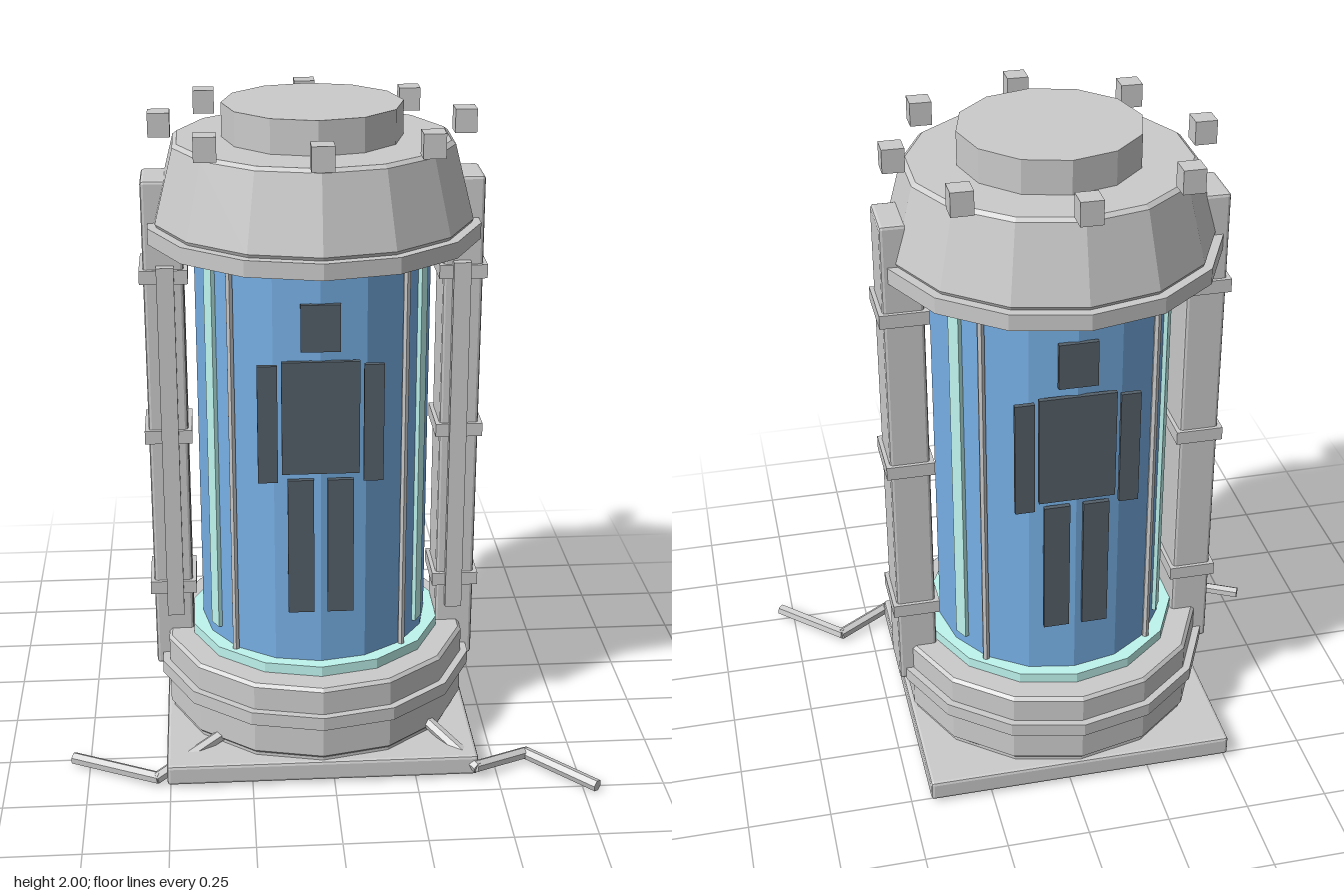
import * as THREE from 'three';
import { RoundedBoxGeometry } from 'three/addons/geometries/RoundedBoxGeometry.js';

const paint = (color) => new THREE.MeshStandardMaterial({ color, flatShading: true });
const grey = paint(0xcccccc);
const glassBlue = paint(0x77b0e6);
const glow = paint(0xbff5ef);
const dark = paint(0x556069);

export function createModel() {
  const model = new THREE.Group();
  // Everything but the cables is placed around the tank's own axis
  const tank = new THREE.Group();
  tank.name = 'tank';
  tank.position.set(-0.035, 0, -0.045);
  model.add(tank);

  const add = (name, geometry, material, x = 0, y = 0, z = 0, parent = tank) => {
    const mesh = new THREE.Mesh(geometry, material);
    mesh.name = name;
    mesh.position.set(x, y, z);
    parent.add(mesh);
    return mesh;
  };
  const lathe = (name, profile, sides = 14, material = grey) =>
    add(name, new THREE.LatheGeometry(profile.map(([r, y]) => new THREE.Vector2(r, y)), sides), material);
  const drum = (name, r, y0, y1, sides, material) =>
    add(name, new THREE.CylinderGeometry(r, r, y1 - y0, sides), material, 0, (y0 + y1) / 2, 0);

  // Base
  add('basePlate', new RoundedBoxGeometry(0.95, 0.065, 0.95, 1, 0.01), grey, 0, 0.0475, 0);
  lathe('baseDrum', [[0, 0.07], [0.465, 0.07], [0.465, 0.09], [0.475, 0.1], [0.475, 0.32], [0.465, 0.33], [0, 0.33]]);
  drum('baseRing', 0.498, 0.203, 0.245, 14, grey);
  drum('glowRing', 0.394, 0.325, 0.362, 14, glow);

  // Glass and cap
  drum('glass', 0.354, 0.33, 1.63, 16, glassBlue);
  drum('capRing', 0.498, 1.612, 1.66, 14, grey);
  lathe('cap', [[0, 1.65], [0.465, 1.65], [0.475, 1.67], [0.418, 1.89], [0.405, 1.9], [0, 1.9]]);
  drum('capLid', 0.265, 1.89, 2, 12, grey);

  // Cubes floating round the cap
  for (let i = 0; i < 8; i++) {
    const a = (i * Math.PI) / 4;
    add('capCube', new THREE.BoxGeometry(0.064, 0.07, 0.064), grey, 0.445 * Math.sin(a), 1.942, 0.445 * Math.cos(a));
  }

  // Struts and light strips on the glass, one of each per quarter
  for (const sx of [-1, 1]) {
    for (const sz of [-1, 1]) {
      add('strut', new THREE.CylinderGeometry(0.011, 0.011, 1.28, 6), grey, sx * 0.255, 0.975, sz * 0.255);
      const a = THREE.MathUtils.degToRad(62);
      const strip = add('lightStrip', new THREE.BoxGeometry(0.046, 1.2, 0.014), glow,
        sx * 0.352 * Math.sin(a), 1.0, sz * 0.352 * Math.cos(a));
      strip.rotation.y = Math.atan2(sx * Math.sin(a), sz * Math.cos(a));
    }
  }

  // Flat figure on the front and back of the glass: [x0, x1, y0, y1]
  const figure = [
    ['head', -0.057, 0.057, 1.36, 1.5],
    ['torso', -0.113, 0.113, 0.985, 1.33],
    ['arm', -0.183, -0.125, 0.96, 1.32],
    ['arm', 0.125, 0.183, 0.96, 1.32],
    ['leg', -0.097, -0.02, 0.535, 0.965],
    ['leg', 0.02, 0.097, 0.535, 0.965],
  ];
  for (const side of [-1, 1]) {
    for (const [name, x0, x1, y0, y1] of figure) {
      add(name, new THREE.BoxGeometry(x1 - x0, y1 - y0, 0.015), dark, (x0 + x1) / 2, (y0 + y1) / 2, side * 0.356);
    }
  }

  // Side columns with clamps and a front rail
  for (const sx of [-1, 1]) {
    const x = sx * 0.445;
    add('column', new RoundedBoxGeometry(0.12, 1.58, 0.164, 1, 0.01), grey, x, 0.995, -0.027);
    add('columnRail', new THREE.BoxGeometry(0.052, 1.14, 0.05), grey, x - sx * 0.005, 0.96, 0.057);
    for (const y of [0.48, 0.99, 1.497]) {
      add('clamp', new THREE.BoxGeometry(0.144, 0.042, 0.186), grey, x, y, -0.027);
    }
  }

  // Bent cables leaving the base drum over the plate corners
  const cables = [
    [[-0.3, 0.115, 0.26], [-0.54, 0.027, 0.4], [-0.795, 0.024, 0.27]],
    [[0.28, 0.12, 0.24], [0.435, 0.045, 0.43], [0.6, 0.03, 0.34], [0.785, 0.024, 0.525]],
  ];
  for (const points of cables) {
    const cable = new THREE.Group();
    cable.name = 'cable';
    model.add(cable);
    const pts = points.map((p) => new THREE.Vector3(...p));
    for (let i = 1; i < pts.length; i++) {
      const dir = pts[i].clone().sub(pts[i - 1]);
      const mid = pts[i].clone().add(pts[i - 1]).multiplyScalar(0.5);
      const seg = add('cableSegment', new THREE.CylinderGeometry(0.019, 0.019, dir.length() + 0.012, 6), grey,
        mid.x, mid.y, mid.z, cable);
      seg.quaternion.setFromUnitVectors(new THREE.Vector3(0, 1, 0), dir.normalize());
    }
  }
  return model;
}
